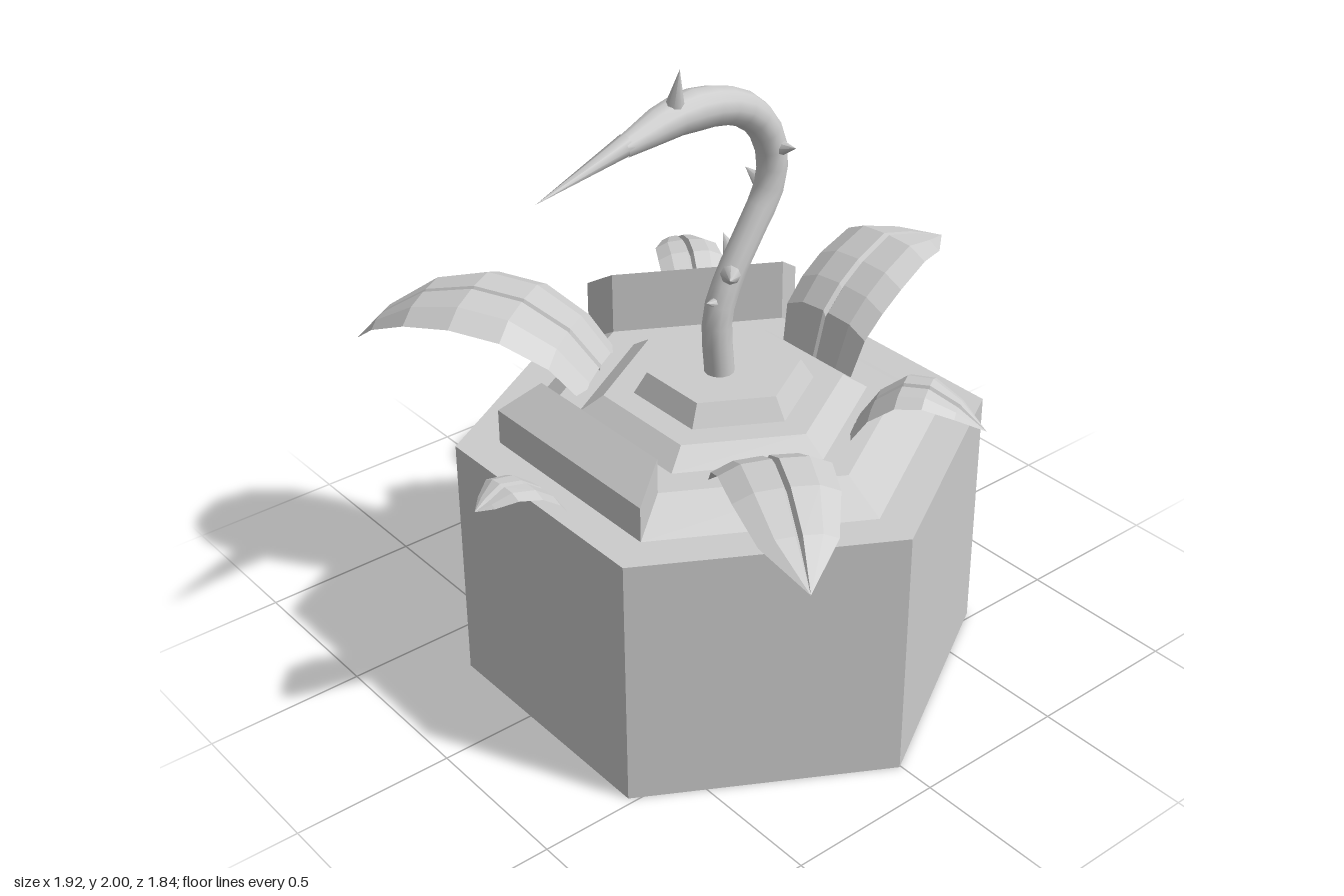
import * as THREE from 'three';
import { ConvexGeometry } from 'three/addons/geometries/ConvexGeometry.js';

const flat = new THREE.MeshStandardMaterial({ color: 0xcccccc, flatShading: true });
const smooth = new THREE.MeshStandardMaterial({ color: 0xcccccc });
const leafMat = new THREE.MeshStandardMaterial({ color: 0xcccccc, flatShading: true, side: THREE.DoubleSide });
const V = (x, y, z) => new THREE.Vector3(x, y, z);
const CX = 0.08, CZ = 0.005;

function add(group, name, geometry, material) {
  const mesh = new THREE.Mesh(geometry, material);
  mesh.name = name;
  group.add(mesh);
  return mesh;
}

// Six-sided frustum with flats facing front and back
function hexTier(group, name, rBottom, rTop, y0, y1) {
  const g = new THREE.CylinderGeometry(rTop, rBottom, y1 - y0, 6, 1, false, Math.PI / 6);
  add(group, name, g, flat).position.set(CX, (y0 + y1) / 2, CZ);
}

// Raised bevelled block filling one side of the hexagonal rim
function rimWall(group, name, degrees, height) {
  const profile = [[0.67, 0.8], [0.67, height], [0.54, height + 0.08], [0.54, 0.8]];
  const points = [];
  for (const side of [-30, 30]) {
    const a = THREE.MathUtils.degToRad(degrees + side);
    for (const [r, y] of profile) points.push(V(CX + r * Math.sin(a), y, CZ + r * Math.cos(a)));
  }
  add(group, name, new ConvexGeometry(points), flat);
}

// Arched leaf: stations are [fraction of length, y, half width]
function leaf(group, name, start, tip, stations) {
  const [x0, z0] = start, dx = tip[0] - x0, dz = tip[1] - z0;
  const len = Math.hypot(dx, dz), sx = dz / len, sz = -dx / len;
  const positions = [], index = [], n = 7;
  for (const [t, y, w] of stations) {
    const rib = Math.min(0.01, w * 0.2), droop = w * 0.22;
    const section = [[-w, -droop], [-w * 0.6, -droop * 0.15], [-rib, 0], [0, -rib * 1.8],
      [rib, 0], [w * 0.6, -droop * 0.15], [w, -droop]];
    for (const [s, d] of section) positions.push(x0 + dx * t + sx * s, y + d, z0 + dz * t + sz * s);
  }
  for (let i = 0; i < stations.length - 1; i++) {
    for (let j = 0; j < n - 1; j++) {
      const a = i * n + j, b = a + n;
      index.push(a, a + 1, b, a + 1, b + 1, b);
    }
  }
  const g = new THREE.BufferGeometry();
  g.setAttribute('position', new THREE.Float32BufferAttribute(positions, 3));
  g.setIndex(index);
  g.computeVertexNormals();
  add(group, name, g, leafMat);
}

// Cone between two points
function spike(group, name, base, tip, radius) {
  const dir = tip.clone().sub(base), len = dir.length();
  const mesh = add(group, name, new THREE.ConeGeometry(radius, len, 8), smooth);
  mesh.position.copy(base).addScaledVector(dir, 0.5);
  mesh.quaternion.setFromUnitVectors(V(0, 1, 0), dir.normalize());
}

// Curved stem whose radius follows a list along its length
function stem(group) {
  const path = new THREE.CatmullRomCurve3([
    [0.97, 0.03], [1.18, 0.04], [1.29, 0], [1.42, -0.08], [1.54, -0.15], [1.64, -0.16],
    [1.74, -0.12], [1.81, -0.04], [1.845, 0.08], [1.845, 0.2], [1.82, 0.31], [1.805, 0.37],
  ].map(([y, z]) => V(0.09, y, z)));
  const radii = [0.045, 0.045, 0.045, 0.043, 0.043, 0.045, 0.047, 0.05, 0.055, 0.06, 0.05, 0.03];
  const N = 22, sides = 12;
  const g = new THREE.TubeGeometry(path, N, 1, sides);
  const pos = g.attributes.position, nor = g.attributes.normal;
  for (let i = 0; i <= N; i++) {
    const p = path.getPointAt(i / N);
    const f = (i / N) * (radii.length - 1), k = Math.min(Math.floor(f), radii.length - 2);
    const r = THREE.MathUtils.lerp(radii[k], radii[k + 1], f - k);
    for (let j = 0; j <= sides; j++) {
      const v = i * (sides + 1) + j;
      pos.setXYZ(v, p.x + nor.getX(v) * r, p.y + nor.getY(v) * r, p.z + nor.getZ(v) * r);
    }
  }
  add(group, 'stem', g, smooth);
}

export function createModel() {
  const model = new THREE.Group();
  model.name = 'thornyPlant';

  // Pot, bevelled rim and stepped soil
  hexTier(model, 'pot', 0.8, 0.8, 0, 0.805);
  hexTier(model, 'rim', 0.67, 0.54, 0.805, 0.885);
  hexTier(model, 'lowerStep', 0.435, 0.36, 0.885, 0.935);
  hexTier(model, 'upperStep', 0.27, 0.23, 0.935, 1.0);
  rimWall(model, 'frontRimWall', 0, 0.915);
  rimWall(model, 'backRimWall', 240, 1.005);

  // Leaves
  leaf(model, 'backLeaf', [0.08, -0.355], [0.05, -0.92],
    [[0, 0.88, 0.14], [0.08, 1.04, 0.165], [0.2, 1.11, 0.17], [0.34, 1.165, 0.17],
      [0.54, 1.215, 0.16], [0.76, 1.18, 0.11], [1, 1.125, 0]]);
  leaf(model, 'rightFrontLeaf', [-0.29, 0.185], [-0.965, 0.63],
    [[0, 0.9, 0.16], [0.12, 1.01, 0.18], [0.3, 1.09, 0.2], [0.5, 1.11, 0.2],
      [0.7, 1.075, 0.17], [0.88, 0.98, 0.09], [1, 0.87, 0]]);
  leaf(model, 'leftFrontLeaf', [0.44, 0.185], [0.96, 0.455],
    [[0, 0.9, 0.145], [0.15, 0.99, 0.155], [0.33, 1.045, 0.16], [0.55, 1.035, 0.15],
      [0.78, 0.97, 0.11], [1, 0.87, 0]]);
  leaf(model, 'leftBackLeaf', [0.43, -0.2], [0.755, -0.405],
    [[0, 0.89, 0.095], [0.15, 0.98, 0.1], [0.35, 1.04, 0.105], [0.55, 1.045, 0.095],
      [0.78, 1.0, 0.06], [1, 0.93, 0]]);
  leaf(model, 'rightBackLeaf', [-0.42, -0.31], [-0.76, -0.49],
    [[0, 0.89, 0.095], [0.15, 0.96, 0.1], [0.35, 1.015, 0.105], [0.55, 1.02, 0.1],
      [0.8, 0.99, 0.06], [1, 0.945, 0]]);
  leaf(model, 'frontLeaf', [0.095, 0.64], [0.105, 0.915],
    [[0, 0.8, 0.075], [0.15, 0.86, 0.08], [0.38, 0.91, 0.085], [0.65, 0.93, 0.075],
      [0.85, 0.905, 0.04], [1, 0.885, 0]]);

  // Hooked stem with beak-like tip and thorns
  stem(model);
  spike(model, 'stemTip', V(0.09, 1.812, 0.355), V(0.09, 1.725, 0.66), 0.032);
  spike(model, 'topThorn', V(0.1, 1.88, 0.2), V(0.135, 2.0, 0.21), 0.028);
  const thorns = [
    [[0.1, 1.66, -0.16], [0.18, 1.68, -0.17]],
    [[0.08, 1.54, -0.145], [-0.02, 1.56, -0.155]],
    [[0.08, 1.34, -0.03], [-0.03, 1.37, -0.08]],
    [[0.1, 1.31, 0], [0.215, 1.365, 0.1]],
    [[0.1, 1.23, 0.03], [0.1, 1.245, 0.09]],
  ];
  for (const [base, tip] of thorns) spike(model, 'thorn', V(...base), V(...tip), 0.034);

  return model;
}
